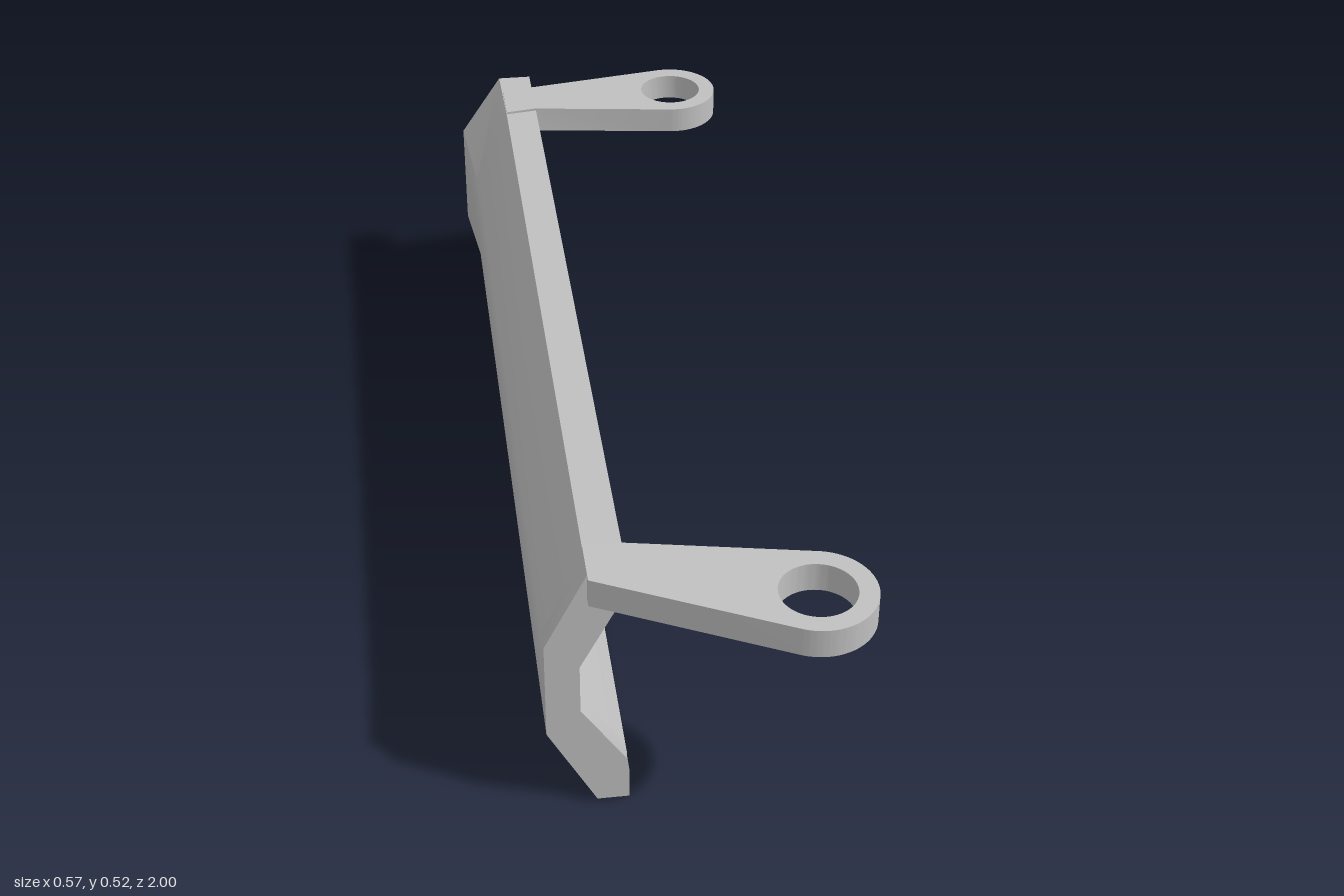
import * as THREE from 'three';
import { toCreasedNormals } from 'three/addons/utils/BufferGeometryUtils.js';

const CREASE = 0.52;

// Joins matching counter-clockwise outlines placed along z (ascending) into a closed solid
function loft(sections) {
  const pos = [];
  const put = (s, i) => pos.push(s.pts[i][0], s.pts[i][1], s.z);
  const n = sections[0].pts.length;
  for (let k = 0; k < sections.length - 1; k++) {
    const a = sections[k], b = sections[k + 1];
    for (let i = 0; i < n; i++) {
      const j = (i + 1) % n;
      put(a, i); put(a, j); put(b, j);
      put(a, i); put(b, j); put(b, i);
    }
  }
  const endFace = (s, flip) => {
    const faces = THREE.ShapeUtils.triangulateShape(s.pts.map(p => new THREE.Vector2(...p)), []);
    for (const f of faces) (flip ? [f[2], f[1], f[0]] : f).forEach(i => put(s, i));
  };
  endFace(sections[0], true);
  endFace(sections[sections.length - 1], false);
  const g = new THREE.BufferGeometry();
  g.setAttribute('position', new THREE.Float32BufferAttribute(pos, 3));
  return toCreasedNormals(g, CREASE);
}

// Flat tapered arm with a round eye; z runs opposite to the shape's second axis
function armGeometry({ root, eye, from, to }) {
  const rad = THREE.MathUtils.degToRad;
  const s = new THREE.Shape();
  root.forEach(([x, z], i) => (i ? s.lineTo(x, -z) : s.moveTo(x, -z)));
  s.absarc(eye[0], -eye[1], 0.1, rad(from), rad(to), false);
  s.closePath();
  const hole = new THREE.Path();
  hole.absarc(eye[0], -eye[1], 0.066, 0, Math.PI * 2, true);
  s.holes.push(hole);
  const g = new THREE.ExtrudeGeometry(s, { depth: 0.055, bevelEnabled: false, curveSegments: 32 });
  g.rotateX(-Math.PI / 2).translate(0, 0.465, 0);
  return toCreasedNormals(g, CREASE);
}

export function createModel() {
  const model = new THREE.Group();
  model.name = 'channelBracket';
  const grey = new THREE.MeshStandardMaterial({ color: 0xc0c0c0 });
  grey.name = 'lightGrey';
  const add = (name, geometry) => {
    const m = new THREE.Mesh(geometry, grey);
    m.name = name;
    model.add(m);
  };

  // Outer side from the top edge down to the foot
  const outer = [[-0.195, 0.515], [-0.27, 0.365], [-0.27, 0.167], [-0.183, 0]];
  // Bent channel wall with a lip along the foot and the top edge
  const body = [
    [-0.125, 0], [-0.125, 0.065], [-0.147, 0.065], [-0.235, 0.203],
    [-0.235, 0.325], [-0.16, 0.465], [-0.128, 0.465], [-0.128, 0.515], ...outer,
  ];
  // Same outline, spread outwards at the back end
  const flared = [
    [-0.125, 0], [-0.125, 0.065], [-0.147, 0.061], [-0.242, 0.183],
    [-0.242, 0.343], [-0.165, 0.465], [-0.128, 0.465], [-0.128, 0.515],
    [-0.198, 0.515], [-0.287, 0.385], [-0.287, 0.155], [-0.192, 0],
  ];
  add('channel', loft([
    { z: -1, pts: flared }, { z: -0.8, pts: body }, { z: 0.765, pts: body },
  ]));

  // Thicker rim closing the front end
  const rim = [
    [-0.126, 0], [-0.126, 0.065], [-0.129, 0.09], [-0.21, 0.215],
    [-0.21, 0.315], [-0.15, 0.431], [-0.128, 0.431], [-0.128, 0.515], ...outer,
  ];
  add('frontRim', loft([{ z: 0.765, pts: rim }, { z: 0.807, pts: rim }]));

  // Mounting arms
  add('frontArm', armGeometry({
    root: [[-0.13, 0.735], [-0.195, 0.735], [-0.195, 0.825]],
    eye: [0.172, 0.898], from: -116, to: 78.5,
  }));
  add('backArm', armGeometry({
    root: [[-0.13, -0.935], [-0.195, -0.925], [-0.195, -0.82], [-0.13, -0.83]],
    eye: [0.185, -0.885], from: -98.7, to: 98.7,
  }));
  return model;
}
